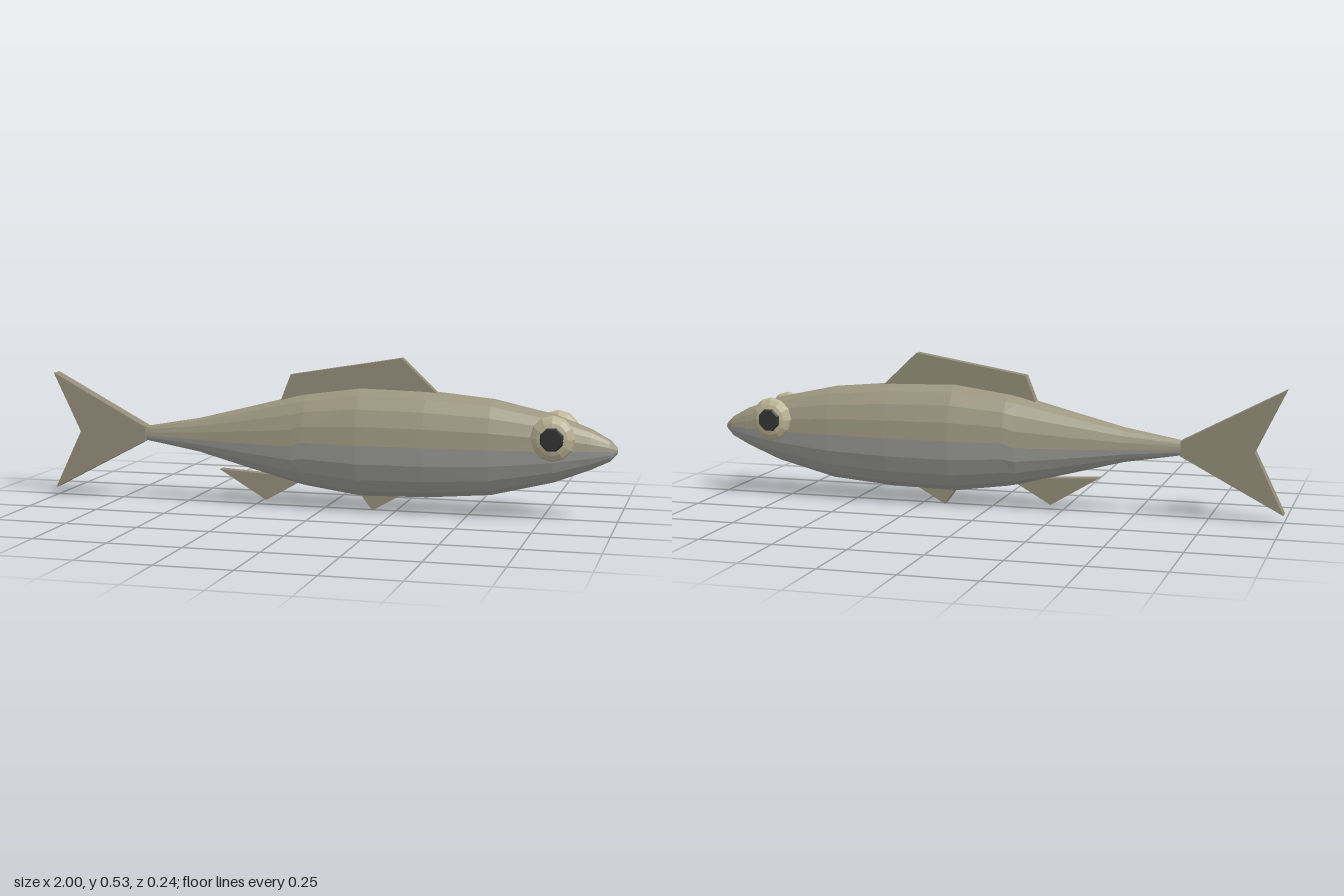
import * as THREE from 'three';

const material = (name, color, extra = {}) => {
  const m = new THREE.MeshStandardMaterial({ color, flatShading: true, ...extra });
  m.name = name;
  return m;
};

// Body stations from tail to nose: x, top y, colour line y, bottom y, half width
const STATIONS = [
  [-0.66, 0.262, 0.23, 0.213, 0.014],
  [-0.46, 0.297, 0.227, 0.18, 0.042],
  [-0.28, 0.342, 0.224, 0.133, 0.07],
  [-0.1, 0.388, 0.225, 0.087, 0.099],
  [-0.06, 0.396, 0.24, 0.079, 0.104],
  [0.13, 0.422, 0.24, 0.053, 0.118],
  [0.36, 0.417, 0.24, 0.058, 0.115],
  [0.58, 0.397, 0.24, 0.076, 0.1],
  [0.79, 0.352, 0.24, 0.128, 0.074],
  [0.91, 0.308, 0.24, 0.175, 0.046],
  [0.97, 0.275, 0.24, 0.204, 0.027],
  [0.995, 0.25, 0.24, 0.23, 0.01],
];

// Half shell of the body: side = 1 for the back, -1 for the belly
function halfBody(side) {
  const pos = [], idx = [], n = 9;
  for (const [x, top, mid, bottom, w] of STATIONS) {
    const h = (side > 0 ? top - mid : mid - bottom) / Math.cos(Math.PI / 18);
    for (let i = 0; i <= n; i++) {
      const a = (i / n) * Math.PI;
      pos.push(x, mid + side * h * Math.sin(a), w * Math.cos(a));
    }
  }
  const quad = (a, b, c, d) =>
    side > 0 ? idx.push(a, b, c, a, c, d) : idx.push(a, c, b, a, d, c);
  const row = n + 1, last = (STATIONS.length - 1) * row;
  for (let s = 0; s < STATIONS.length - 1; s++) {
    for (let i = 0; i < n; i++) {
      const a = s * row + i;
      quad(a, a + row, a + row + 1, a + 1);
    }
  }
  // End caps at the tail root and the nose
  for (let i = 1; i < n; i++) {
    if (side > 0) idx.push(0, i, i + 1, last, last + i + 1, last + i);
    else idx.push(0, i + 1, i, last, last + i, last + i + 1);
  }
  const g = new THREE.BufferGeometry();
  g.setAttribute('position', new THREE.Float32BufferAttribute(pos, 3));
  g.setIndex(idx);
  g.computeVertexNormals();
  return g;
}

// Flat fin cut from an outline in the x-y plane
function fin(points, halfThickness) {
  const shape = new THREE.Shape(points.map(([x, y]) => new THREE.Vector2(x, y)));
  const g = new THREE.ExtrudeGeometry(shape, { depth: 2 * halfThickness, bevelEnabled: false });
  return g.translate(0, 0, -halfThickness);
}

export function createModel() {
  const model = new THREE.Group();
  model.name = 'fish';
  const olive = material('olive', 0x9c967f, { side: THREE.DoubleSide });
  const grey = material('belly grey', 0x9c9c99, { side: THREE.DoubleSide });
  const finOlive = material('fin olive', 0x928c78);
  const cream = material('eye cream', 0xbdb496);
  const dark = material('pupil dark', 0x333333);

  const add = (parent, name, geometry, mat) => {
    const mesh = new THREE.Mesh(geometry, mat);
    mesh.name = name;
    parent.add(mesh);
    return mesh;
  };

  add(model, 'back', halfBody(1), olive);
  add(model, 'belly', halfBody(-1), grey);

  // Fins
  add(model, 'tailFin', fin([[-0.655, 0.262], [-1, 0.445], [-0.9, 0.237], [-1, 0.03], [-0.655, 0.212]], 0.025), finOlive);
  add(model, 'dorsalFin', fin([[-0.16, 0.36], [-0.12, 0.462], [0.27, 0.528], [0.39, 0.414], [0.2, 0.38]], 0.017), finOlive);
  add(model, 'analFin', fin([[-0.38, 0.122], [-0.21, 0.02], [-0.09, 0.088], [-0.09, 0.105]], 0.017), finOlive);
  add(model, 'pelvicFin', fin([[0.12, 0.07], [0.17, 0.002], [0.28, 0.065]], 0.017), finOlive);

  // Bulging eyes, one on each flank
  for (const s of [1, -1]) {
    const eye = new THREE.Group();
    eye.name = s > 0 ? 'rightEye' : 'leftEye';
    eye.position.set(0.79, 0.283, s * 0.076);
    const ball = add(eye, 'eyeball', new THREE.SphereGeometry(1, 12, 8).rotateX(Math.PI / 2), cream);
    ball.scale.set(0.074, 0.077, 0.031);
    const pupil = add(eye, 'pupil', new THREE.CylinderGeometry(0.036, 0.041, 0.009, 8).rotateY(Math.PI / 8).rotateX(s * Math.PI / 2), dark);
    pupil.position.z = s * 0.03;
    model.add(eye);
  }
  return model;
}
